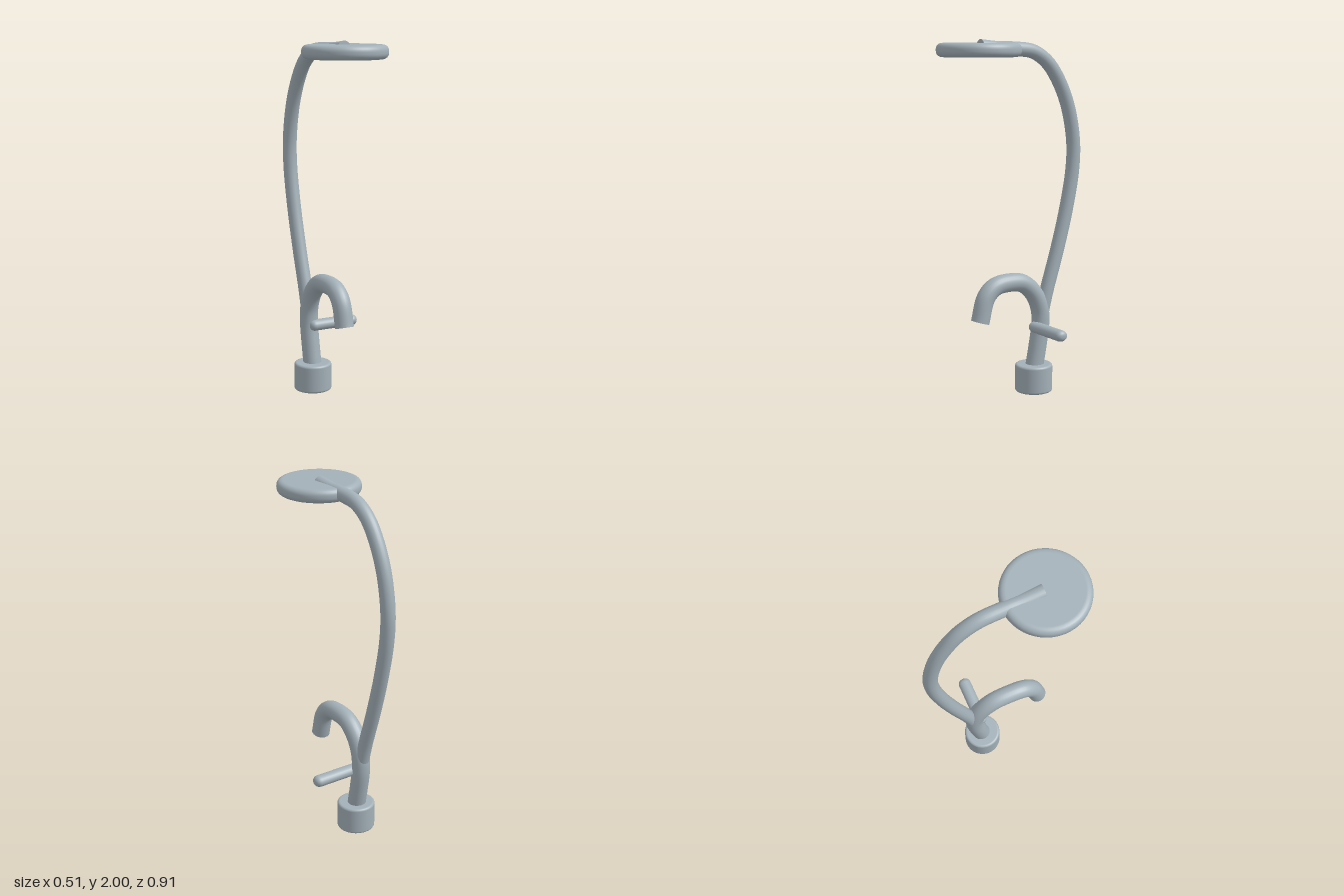
import * as THREE from 'three';

const AXIS_X = -0.03;

// Solid disc or rod standing on y = 0 with rounded rims
function roundedDisc(radius, height, bevel, segments) {
  const pts = [new THREE.Vector2(0, 0), new THREE.Vector2((radius - bevel) * 0.98, 0)];
  const steps = 6;
  for (const [cy, start] of [[bevel, -Math.PI / 2], [height - bevel, 0]]) {
    for (let i = 0; i <= steps; i++) {
      const a = start + (i / steps) * Math.PI / 2;
      pts.push(new THREE.Vector2(radius - bevel + bevel * Math.cos(a), cy + bevel * Math.sin(a)));
    }
  }
  pts.push(new THREE.Vector2((radius - bevel) * 0.98, height), new THREE.Vector2(0, height));
  return new THREE.LatheGeometry(pts, segments);
}

// Bent pipe in the YZ plane, points given as [z, y], with a flat cap on the open end
function pipe(name, points, radius, segments, material) {
  const group = new THREE.Group();
  group.name = name;
  const curve = new THREE.CatmullRomCurve3(points.map(([z, y]) => new THREE.Vector3(AXIS_X, y, z)));
  const tube = new THREE.Mesh(new THREE.TubeGeometry(curve, segments, radius, 24), material);
  tube.name = name + 'Tube';
  const cap = new THREE.Mesh(new THREE.CircleGeometry(radius, 24), material);
  cap.name = name + 'EndCap';
  const end = curve.getPoint(1);
  cap.position.copy(end);
  cap.lookAt(end.clone().add(curve.getTangent(1)));
  group.add(tube, cap);
  return group;
}

export function createModel() {
  const model = new THREE.Group();
  model.name = 'showerColumn';
  const metal = new THREE.MeshStandardMaterial({ color: 0xa3b0b8 });
  metal.name = 'brushed metal';

  const add = (name, geometry, x, y, z) => {
    const mesh = new THREE.Mesh(geometry, metal);
    mesh.name = name;
    mesh.position.set(x, y, z);
    model.add(mesh);
    return mesh;
  };

  // Foot and shower head
  add('base', roundedDisc(0.107, 0.16, 0.014, 40), AXIS_X, 0, -0.14);
  add('showerHead', roundedDisc(0.23, 0.075, 0.032, 48), AXIS_X, 1.905, 0.222);

  // Side lever with rounded ends, slightly flattened
  const lever = add('lever', roundedDisc(0.037, 0.305, 0.03, 24), -0.05, 0.375, -0.142);
  lever.rotation.z = -Math.PI / 2;
  lever.scale.x = 0.87;

  // Curved spout rising from the base
  model.add(pipe('spout', [
    [-0.135, 0.1], [-0.165, 0.25], [-0.186, 0.39], [-0.18, 0.48], [-0.137, 0.572],
    [-0.06, 0.638], [0.035, 0.652], [0.125, 0.638], [0.183, 0.585], [0.223, 0.45],
  ], 0.052, 60, metal));

  // Tall riser bending over into the shower head
  model.add(pipe('riser', [
    [-0.18, 0.38], [-0.225, 0.56], [-0.3, 0.8], [-0.365, 1.04], [-0.408, 1.27], [-0.411, 1.43],
    [-0.37, 1.63], [-0.3, 1.78], [-0.225, 1.875], [-0.13, 1.932], [0, 1.947], [0.1, 1.949], [0.215, 1.96],
  ], 0.04, 80, metal));

  return model;
}
